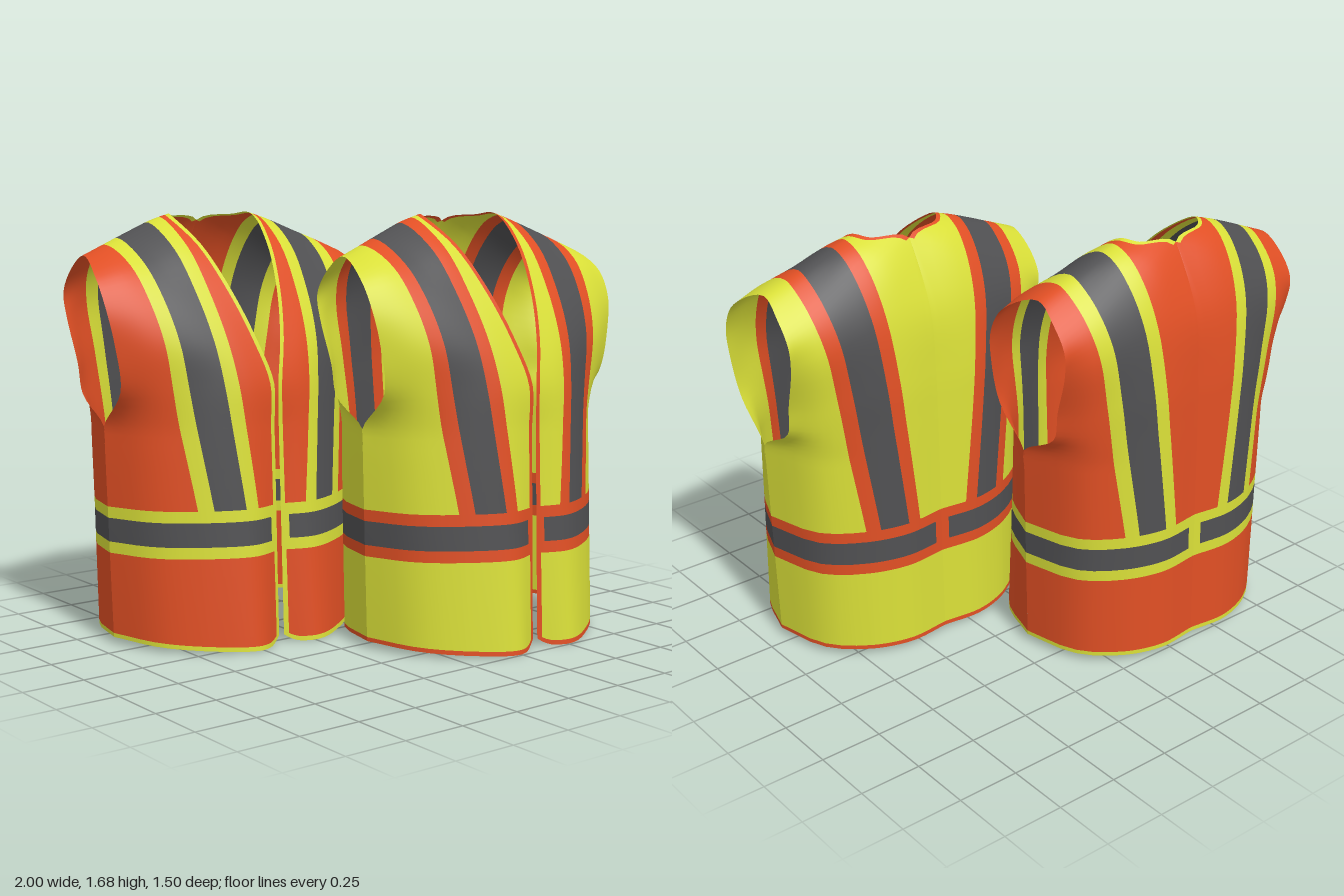
import * as THREE from 'three';

const V = (x, y, z) => new THREE.Vector3(x, y, z);
const lerp = THREE.MathUtils.lerp, clamp = THREE.MathUtils.clamp;

// Lower body sections as [x, z], from the centre to the side seam
const frontHem = [[.012, .36], [.14, .42], [.3, .345], [.46, .2], [.54, -.02]];
const frontChest = [[.01, .335], [.14, .345], [.3, .29], [.47, .16], [.565, -.02]];
const backHem = [[0, -.405], [.18, -.418], [.35, -.36], [.48, -.24], [.54, -.02]];
const backChest = [[0, -.385], [.18, -.4], [.35, -.35], [.49, -.25], [.565, -.02]];
const LOW = [0, .3, .555, .8, .87];
const skirt = (hem, chest) => LOW.map(y => hem.map((h, i) => {
  const k = y / .87;
  return V(lerp(h[0], chest[i][0], k), y, lerp(h[1], chest[i][1], k));
}));

// Upper sections, from the neck edge to the armhole edge
const frontTop = [
  [[.01, 1.03, .335], [.15, 1.03, .33], [.3, 1.03, .28], [.46, 1.03, .2], [.57, 1.02, .12]],
  [[.055, 1.2, .285], [.18, 1.2, .28], [.33, 1.2, .25], [.48, 1.2, .2], [.6, 1.2, .135]],
  [[.105, 1.38, .195], [.22, 1.38, .185], [.36, 1.37, .17], [.5, 1.35, .15], [.622, 1.34, .11]],
  [[.155, 1.56, .055], [.25, 1.55, .055], [.38, 1.51, .055], [.52, 1.48, .055], [.622, 1.45, .04]],
  [[.19, 1.675, -.12], [.27, 1.65, -.12], [.39, 1.605, -.12], [.5, 1.56, -.12], [.585, 1.525, -.12]],
];
const backTop = [
  [[.15, 1.668, -.18], [.25, 1.635, -.2], [.37, 1.575, -.205], [.49, 1.515, -.21], [.59, 1.46, -.215]],
  [[0, 1.645, -.22], [.17, 1.58, -.275], [.34, 1.5, -.285], [.48, 1.42, -.29], [.588, 1.37, -.275]],
  [[0, 1.4, -.345], [.17, 1.4, -.355], [.33, 1.36, -.345], [.48, 1.3, -.32], [.578, 1.27, -.268]],
  [[0, 1.15, -.375], [.18, 1.15, -.39], [.35, 1.13, -.355], [.48, 1.11, -.3], [.565, 1.1, -.215]],
  [[0, .98, -.382], [.18, .98, -.397], [.35, .98, -.352], [.48, .98, -.285], [.56, .98, -.19]],
];
const toRow = r => r.map(p => V(...p));
const rows = [
  ...skirt(frontHem, frontChest), ...frontTop.map(toRow),
  ...backTop.map(toRow), ...skirt(backHem, backChest).reverse(),
];
const LAST = rows.length - 1;

// Lengthwise curves: front hem, over the shoulder, to the back hem
const columns = [0, 1, 2, 3, 4].map(i =>
  new THREE.CatmullRomCurve3(rows.map(r => r[i]), false, 'centripetal'));

// Parameter at which a rising function reaches a value
function solve(f, value, lo, hi) {
  for (let n = 0; n < 30; n++) {
    const mid = (lo + hi) / 2;
    if (f(mid) < value) lo = mid; else hi = mid;
  }
  return (lo + hi) / 2;
}

// Row positions, with exact rows on the edges of hem and belt
function rowParameters() {
  const ys = [.018, .06, .12, .2, .3, .37, .415, .51, .555, .64, .72, .8, .84];
  const end = 4 / LAST;
  const front = ys.map(y => solve(t => columns[1].getPoint(t).y, y, 0, end));
  const back = ys.map(y => 1 - solve(t => columns[1].getPoint(1 - t).y, y, 0, end)).reverse();
  const upper = [];
  for (let i = 4 * 5; i <= (LAST - 4) * 5; i++) upper.push(i / 5 / LAST);
  return [0, ...front, ...upper, ...back, 1];
}

// Bands across a half: binding, gap, base, trim, reflective, trim, base
const BAND_STEPS = [1, 1, 4, 3, 4, 3, 6];
const BANDS = BAND_STEPS.flatMap((n, band) => Array(n).fill(band));

function sampleRow(t) {
  const pts = columns.map(c => c.getPoint(t));
  const curve = new THREE.CatmullRomCurve3(pts, false, 'centripetal');
  const k = clamp((pts[2].y - .56) / 1.04, 0, 1);
  const centre = .225 + .135 * k, grey = .058 + .014 * k, trim = .112 + .018 * k;
  const x0 = pts[0].x;
  const edges = [x0 + .018, x0 + .032, centre - trim, centre - grey, centre + grey, centre + trim]
    .map(x => solve(u => curve.getPoint(u).x, x, 0, 1));
  const stops = [0, ...edges, 1];
  const us = [0];
  BAND_STEPS.forEach((n, b) => {
    for (let i = 1; i <= n; i++) us.push(lerp(stops[b], stops[b + 1], i / n));
  });
  return us.map(u => {
    const p = curve.getPoint(u);
    const isFront = t < .5;
    p.x = Math.max(p.x, isFront ? .008 : 0);
    // Hem rises at the sides and rounds off at the front opening
    const fade = Math.max(0, 1 - p.y / .3);
    let rise = isFront ? .03 * (p.x / .55) ** 2 : .02 + .01 * (p.x / .55) ** 2;
    if (isFront) rise += .04 * Math.max(0, 1 - p.x / .08) ** 2;
    p.y += rise * fade;
    return p;
  });
}

// Material slot of a cell: 0 base, 1 trim, 2 reflective
function slot(t, y, band) {
  const low = t < 4 / LAST || t > 1 - 4 / LAST;
  const edged = t < 11 / LAST;
  if (low && y < .018) return 1;
  if (band === 0 && edged) return 1;
  if (low && y > .37 && y < .555) return y > .415 && y < .51 && band > 1 ? 2 : 1;
  if (low && y < .37) return 0;
  return [0, 0, 0, 1, 2, 1, 0][band];
}

function halfGeometry(side) {
  const ts = rowParameters();
  const positions = [], lists = [[], [], []];
  ts.forEach(t => sampleRow(t).forEach(p => positions.push(side * p.x, p.y, p.z)));
  const w = BANDS.length + 1;
  for (let i = 0; i < ts.length - 1; i++) {
    const t = (ts[i] + ts[i + 1]) / 2, y = columns[1].getPoint(t).y;
    BANDS.forEach((band, j) => {
      const a = i * w + j, b = a + 1, c = b + w, d = a + w;
      const list = lists[slot(t, y, band)];
      if (side > 0) list.push(a, b, c, a, c, d);
      else list.push(a, c, b, a, d, c);
    });
  }
  const geometry = new THREE.BufferGeometry();
  geometry.setAttribute('position', new THREE.Float32BufferAttribute(positions, 3));
  geometry.setIndex(lists.flat());
  let start = 0;
  lists.forEach((list, m) => {
    geometry.addGroup(start, list.length, m);
    start += list.length;
  });
  geometry.computeVertexNormals();
  return geometry;
}

export function createModel() {
  const material = (name, color) => {
    const m = new THREE.MeshStandardMaterial({ color, side: THREE.DoubleSide });
    m.name = name;
    return m;
  };
  const orange = material('safetyOrange', 0xe04f24);
  const yellow = material('safetyYellow', 0xd9df38);
  const grey = material('reflectiveGrey', 0x505052);

  const leftHalf = halfGeometry(1), rightHalf = halfGeometry(-1);
  const vest = (name, base, trim, x, z) => {
    const group = new THREE.Group();
    group.name = name;
    [['leftHalf', leftHalf], ['rightHalf', rightHalf]].forEach(([part, geometry]) => {
      const mesh = new THREE.Mesh(geometry, [base, trim, grey]);
      mesh.name = part;
      group.add(mesh);
    });
    group.position.set(x, 0, z);
    return group;
  };

  const model = new THREE.Group();
  model.name = 'safetyVests';
  model.add(vest('yellowVest', yellow, orange, .375, .325));
  model.add(vest('orangeVest', orange, yellow, -.375, -.335));
  return model;
}
